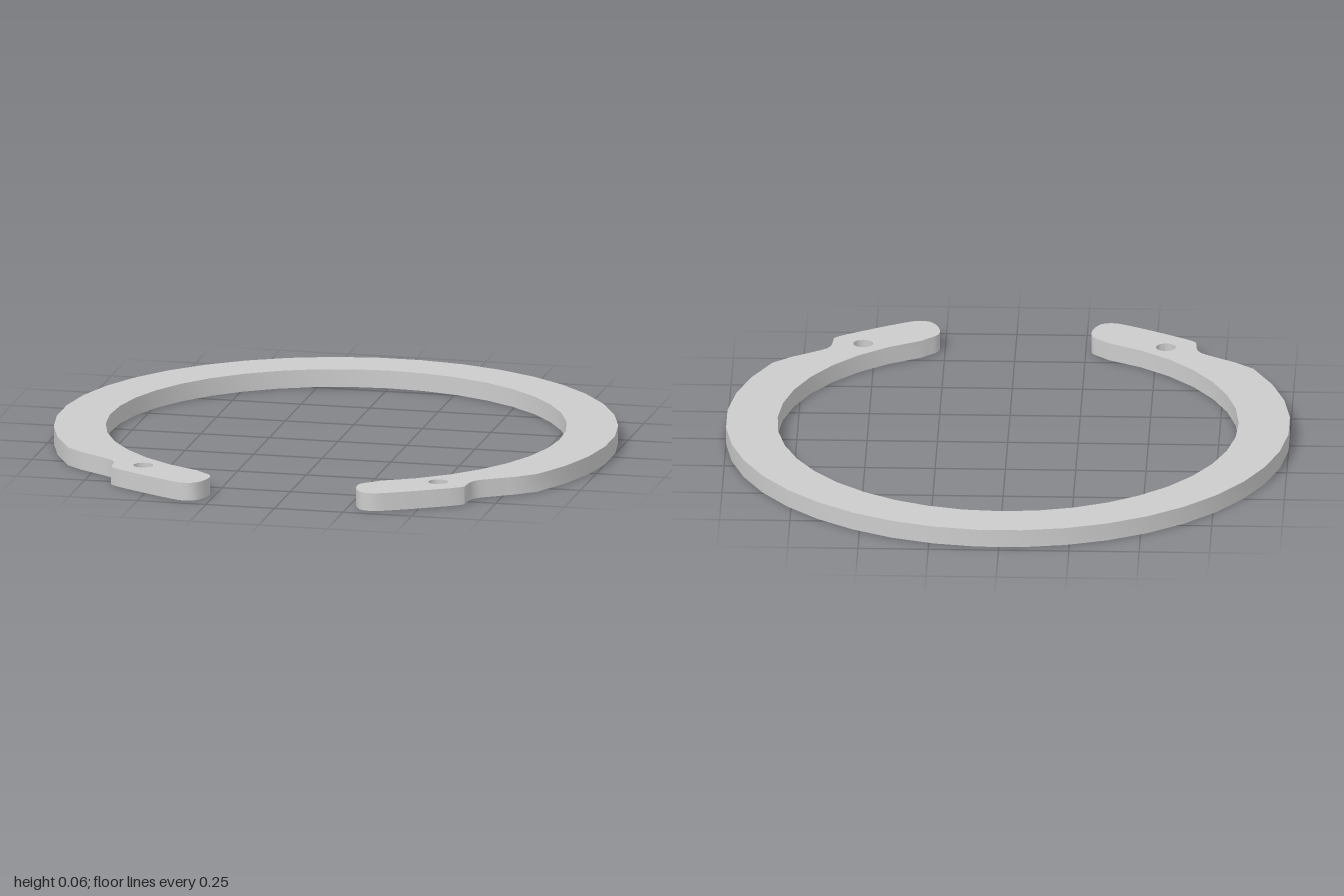
import * as THREE from 'three';
import { toCreasedNormals } from 'three/addons/utils/BufferGeometryUtils.js';

const THICKNESS = 0.065;

// points on a circle, angles in degrees with 90 pointing to the front (+z)
function arc(cz, r, from, to, n) {
  return Array.from({ length: n + 1 }, (_, i) => {
    const a = THREE.MathUtils.degToRad(from + ((to - from) * i) / n);
    return new THREE.Vector2(r * Math.cos(a), cz + r * Math.sin(a));
  });
}

// lug outline: from the outer rim, round the neck and tip, to the inner rim
const lugProfile = [
  [0.79, 0.61], [0.72, 0.655], [0.67, 0.69], [0.65, 0.725], [0.645, 0.77], [0.63, 0.805],
  [0.5, 0.885], [0.385, 0.947], [0.34, 0.96], [0.3, 0.947], [0.273, 0.895], [0.273, 0.835], [0.31, 0.797],
].map(([x, z]) => new THREE.Vector2(x, z));

export function createModel() {
  const group = new THREE.Group();
  group.name = 'retainingRing';

  const lug = new THREE.SplineCurve(lugProfile).getPoints(36);
  const mirroredLug = lug.map((p) => new THREE.Vector2(-p.x, p.y)).reverse();

  // open ring outline: outer rim, left lug, inner rim, right lug
  const outline = new THREE.Shape([
    ...arc(0.03, 1.003, -211.5, 31.5, 27),
    ...lug,
    ...arc(0.025, 0.82, 66, -246, 34),
    ...mirroredLug,
  ]);

  // plier holes in the lugs
  for (const side of [-1, 1]) {
    const hole = new THREE.Path();
    hole.absarc(side * 0.538, 0.743, 0.035, 0, Math.PI * 2, true);
    outline.holes.push(hole);
  }

  const flat = new THREE.ExtrudeGeometry(outline, {
    depth: THICKNESS, bevelEnabled: false, curveSegments: 12,
  });
  flat.rotateX(Math.PI / 2);
  flat.translate(0, THICKNESS, 0);

  const ring = new THREE.Mesh(
    toCreasedNormals(flat, 0.6),
    new THREE.MeshStandardMaterial({ color: 0xcccccc }),
  );
  ring.name = 'ringWithLugs';
  group.add(ring);
  return group;
}
